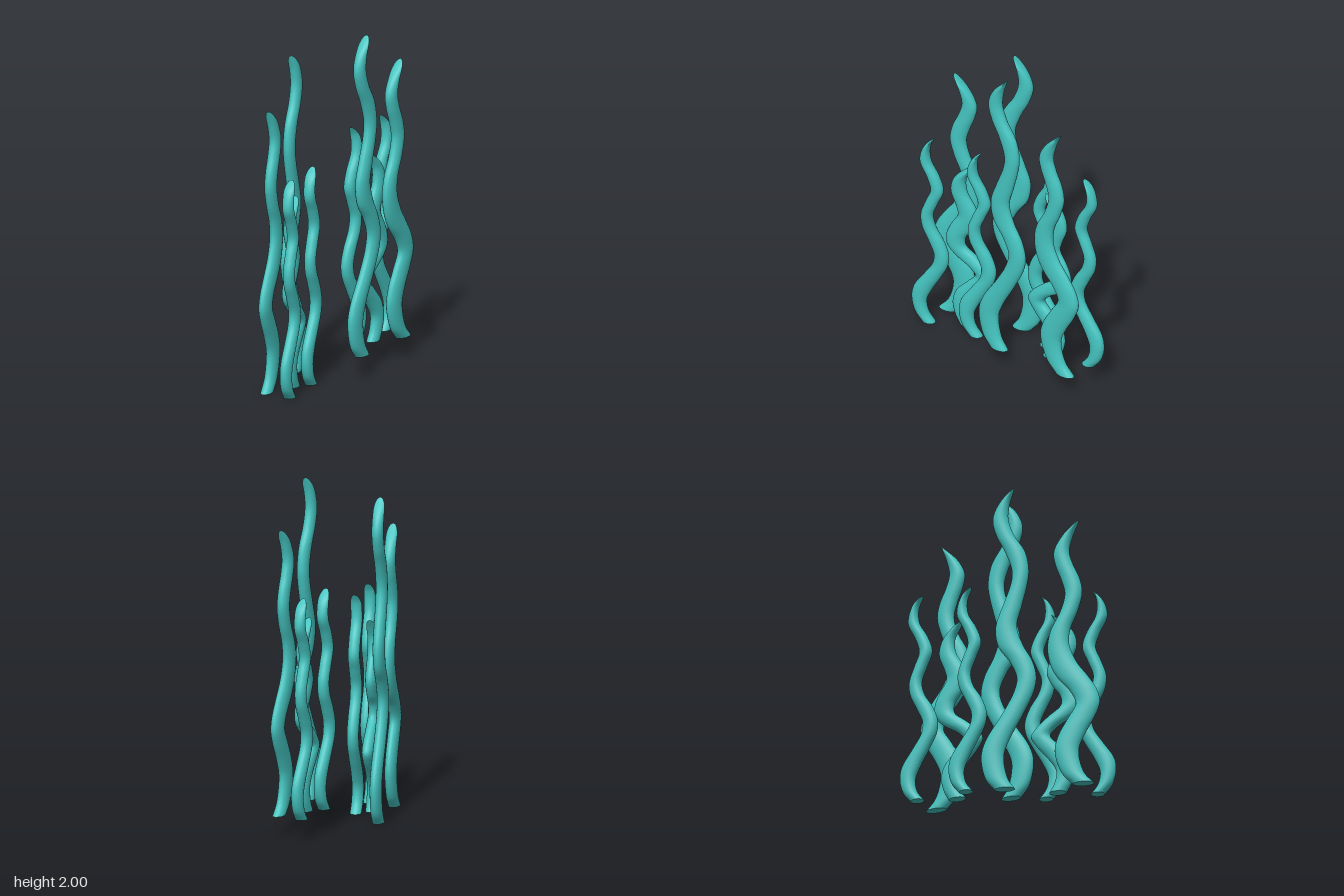
import * as THREE from 'three';

// Frond profiles: rows of height, centre z, half width (elliptical horizontal sections)
const TALL = [
  0, -.037, .058, .07, .01, .063, .21, .034, .066, .31, .005, .069, .47, -.085, .062, .60, -.147, .058,
  .69, -.162, .056, .79, -.13, .064, .89, -.071, .071, 1.01, -.045, .061, 1.13, -.077, .056, 1.26, -.116, .048,
  1.35, -.127, .048, 1.47, -.098, .056, 1.58, -.04, .05, 1.68, -.013, .045, 1.77, -.032, .032, 1.87, -.09, 0,
];
const MEDIUM = [
  0, -.489, .061, .07, -.429, .063, .21, -.392, .069, .31, -.42, .077, .41, -.474, .077, .50, -.513, .069,
  .58, -.489, .077, .67, -.426, .087, .76, -.373, .077, .87, -.344, .063, .97, -.357, .056, 1.08, -.405, .05,
  1.19, -.431, .05, 1.28, -.413, .053, 1.37, -.378, .05, 1.45, -.362, .045, 1.54, -.392, .032, 1.64, -.46, 0,
];
const SHORT = [
  0, -.323, .05, .06, -.353, .05, .14, -.366, .053, .22, -.331, .067, .30, -.264, .065, .36, -.224, .055,
  .41, -.256, .058, .48, -.342, .073, .54, -.398, .06, .60, -.398, .06, .67, -.361, .07, .75, -.323, .064,
  .81, -.336, .062, .91, -.38, .051, .99, -.377, .038, 1.05, -.342, .024, 1.11, -.285, 0,
];
const SLIM = [
  0, -.241, .04, .06, -.284, .042, .14, -.3, .046, .22, -.279, .056, .32, -.22, .052, .41, -.171, .046,
  .48, -.163, .045, .57, -.195, .048, .66, -.241, .042, .74, -.252, .037, .83, -.222, .038, .92, -.19, .038,
  1.01, -.215, .038, 1.10, -.26, .034, 1.16, -.263, .026, 1.22, -.246, .015, 1.27, -.208, 0,
];

const THICKNESS = 0.033; // half thickness across x
const RINGS = 100, SIDES = 20;

// Loft horizontal ellipses along a smoothed profile, closed at the base
function frondGeometry(rows) {
  const pts = [];
  for (let i = 0; i < rows.length; i += 3) pts.push(new THREE.Vector3(rows[i], rows[i + 1], rows[i + 2]));
  const curve = new THREE.CatmullRomCurve3(pts);
  const top = pts[pts.length - 1].x;
  const pos = [], index = [];
  const ring = (y, c, hx, hz) => {
    for (let j = 0; j < SIDES; j++) {
      const a = (j / SIDES) * Math.PI * 2;
      pos.push(hx * Math.cos(a), y, c + hz * Math.sin(a));
    }
  };
  for (let i = 0; i <= RINGS; i++) {
    const t = i / RINGS;
    const p = curve.getPoint(1 - Math.pow(1 - t, 1.2)); // denser near the tip
    // the thickness only rounds off close to the tip
    const k = THREE.MathUtils.clamp(1 - (top - p.x) / 0.07, 0, 1);
    ring(p.x, p.y, THICKNESS * Math.sqrt(1 - k * k), Math.max(p.z, 0));
  }
  for (let i = 0; i < RINGS; i++) {
    for (let j = 0; j < SIDES; j++) {
      const a = i * SIDES + j, b = i * SIDES + (j + 1) % SIDES;
      index.push(a, a + SIDES, b, b, a + SIDES, b + SIDES);
    }
  }
  // flat base with its own vertices for a sharp rim
  const start = pos.length / 3;
  ring(pts[0].x, pts[0].y, THICKNESS, pts[0].z);
  const centre = pos.length / 3;
  pos.push(0, pts[0].x, pts[0].y);
  for (let j = 0; j < SIDES; j++) index.push(centre, start + j, start + (j + 1) % SIDES);

  const g = new THREE.BufferGeometry();
  g.setAttribute('position', new THREE.Float32BufferAttribute(pos, 3));
  g.setIndex(index);
  g.computeVertexNormals();
  return g;
}

export function createModel() {
  const model = new THREE.Group();
  model.name = 'seaweed';
  const material = new THREE.MeshStandardMaterial({ color: 0x45c4c0 });
  const slim = frondGeometry(SLIM);
  // name, geometry, x, z shift
  const fronds = [
    ['tallFrond', frondGeometry(TALL), 0.197, 0],
    ['mediumFrond', frondGeometry(MEDIUM), 0.192, 0],
    ['shortFrond', frondGeometry(SHORT), 0.095, 0],
    ['innerSlimFrond', slim, 0.022, 0],
    ['outerSlimFrond', slim, 0.035, -0.3],
  ];
  const addClump = (name, x, y, turn) => {
    const clump = new THREE.Group();
    clump.name = name;
    for (const [part, geometry, fx, fz] of fronds) {
      const mesh = new THREE.Mesh(geometry, material);
      mesh.name = part;
      mesh.position.set(fx, 0, fz);
      clump.add(mesh);
    }
    clump.position.set(x, y, 0);
    clump.rotation.y = turn;
    model.add(clump);
  };
  // the same clump twice: raised at the back, turned round at the front
  addClump('backClump', 0, 0.13, 0);
  addClump('frontClump', 0.007, 0.005, Math.PI + 0.185);
  return model;
}
